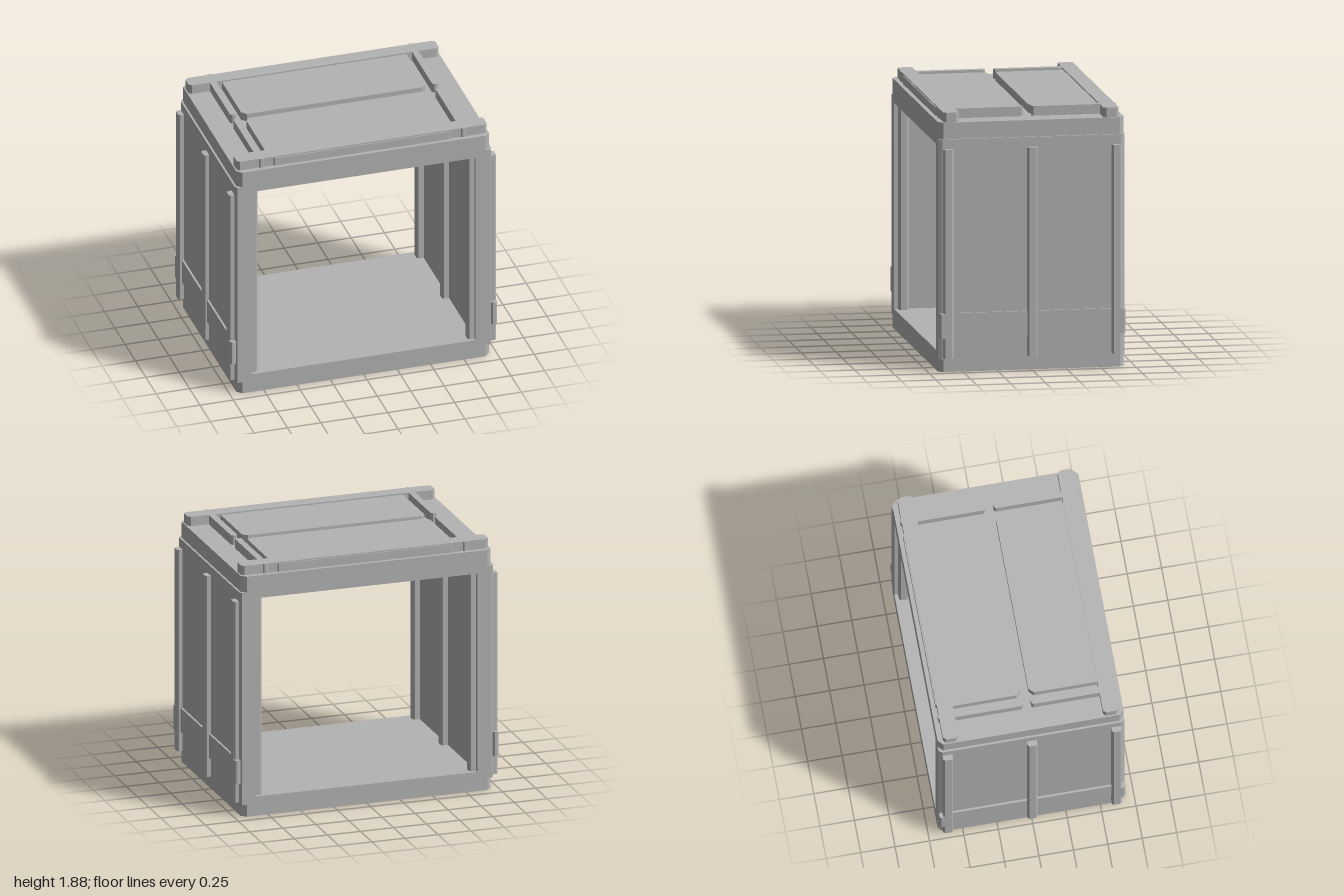
import * as THREE from 'three';

const grey = new THREE.MeshStandardMaterial({ color: 0xb3b3b3 });
grey.name = 'plain grey';

// Upright block with its four vertical corners cut by cx and cz
function block(name, [x0, x1], [y0, y1], [z0, z1], cx = 0.01, cz = cx) {
  const corners = [
    [x0 + cx, z1], [x1 - cx, z1], [x1, z1 - cz], [x1, z0 + cz],
    [x1 - cx, z0], [x0 + cx, z0], [x0, z0 + cz], [x0, z1 - cz],
  ];
  const shape = new THREE.Shape(corners.map(([x, z]) => new THREE.Vector2(x, -z)));
  const geometry = new THREE.ExtrudeGeometry(shape, { depth: y1 - y0, bevelEnabled: false });
  geometry.rotateX(-Math.PI / 2).translate(0, y0, 0);
  const mesh = new THREE.Mesh(geometry, grey);
  mesh.name = name;
  return mesh;
}

// Ordered range mirrored to the given side
const span = (side, a, b) => (side > 0 ? [a, b] : [-b, -a]);

function rect(Type, x, y0, y1) {
  return new Type([[-x, y0], [x, y0], [x, y1], [-x, y1]].map(p => new THREE.Vector2(...p)));
}

export function createModel() {
  const model = new THREE.Group();
  model.name = 'openContainer';
  const depth = [-0.675, 0.675];

  // Open frame, base and roof
  const profile = rect(THREE.Shape, 0.945, 0.09, 1.69);
  profile.holes.push(rect(THREE.Path, 0.835, 0.145, 1.64));
  const frameGeometry = new THREE.ExtrudeGeometry(profile, { depth: 1.35, bevelEnabled: false });
  const frame = new THREE.Mesh(frameGeometry.translate(0, 0, -0.675), grey);
  frame.name = 'frame';
  model.add(frame);
  model.add(block('base', [-0.945, 0.945], [0, 0.09], depth, 0.035));
  model.add(block('roof', [-0.945, 0.945], [1.69, 1.81], depth, 0.035));

  for (const side of [-1, 1]) {
    // Side walls with a raised band low down
    model.add(block('sidePanel', span(side, 0.93, 0.96), [0.09, 1.69], depth, 0.015, 0.025));
    for (const end of [-1, 1])
      model.add(block('sideBand', span(side, 0.95, 0.975), [0.25, 0.43], span(end, 0.03, 0.58), 0));

    // Posts outside and inside the walls
    for (const z of [-0.612, 0, 0.612]) {
      const width = [z - 0.036, z + 0.036];
      model.add(block('outerPost', span(side, 0.94, 1), [0.105, 1.62], width, 0.012));
      model.add(block('innerPost', span(side, 0.785, 0.85), [0.145, 1.63], width, 0.012));
    }

    // Corner collars on the outer posts
    for (const end of [-1, 1])
      model.add(block('cornerCollar', span(side, 0.955, 1), [0.25, 0.43], span(end, 0.6, 0.675), 0.012));

    // Roof rails, hatch panels and rods; here side picks front or back
    model.add(block('roofRail', [-0.935, 0.935], [1.81, 1.88], span(side, 0.525, 0.637), 0.02));
    model.add(block('roofPanel', [-0.69, 0.69], [1.81, 1.87], span(side, 0.03, 0.645), 0.033));
    for (const end of [-1, 1])
      model.add(block('roofRod', span(end, 0.732, 0.78), [1.81, 1.88], span(side, 0.03, 0.645), 0.014));
  }
  return model;
}
